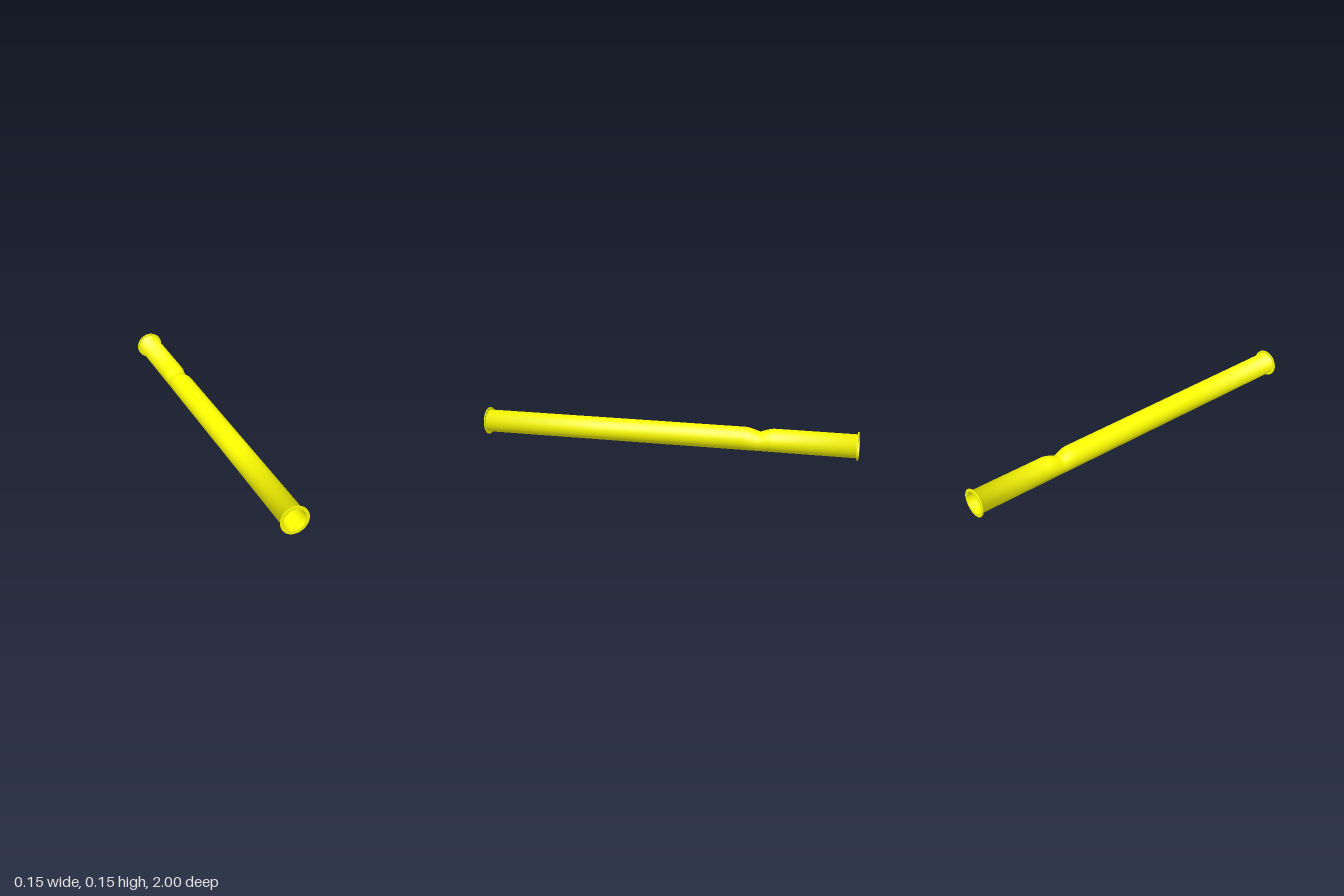
import * as THREE from 'three';

const SEG = 36;
const CENTER_Y = 0.073;
const PIPE_R = 0.06, BORE_R = 0.057, FLANGE_R = 0.073, FLANGE_T = 0.005;
const DENT_Z = -0.5, DENT_W = 0.075;

// Skin made of rings along z; point(angle, z) returns [x, y]
function skin(zs, point, inward) {
  const pos = [], index = [];
  zs.forEach((z) => {
    for (let i = 0; i < SEG; i++) {
      const [x, y] = point((i / SEG) * Math.PI * 2, z);
      pos.push(x, y, z);
    }
  });
  for (let r = 0; r < zs.length - 1; r++) {
    for (let i = 0; i < SEG; i++) {
      const a = r * SEG + i, b = r * SEG + ((i + 1) % SEG), c = a + SEG, d = b + SEG;
      if (inward) index.push(a, c, b, b, c, d);
      else index.push(a, b, c, b, d, c);
    }
  }
  const geo = new THREE.BufferGeometry();
  geo.setAttribute('position', new THREE.Float32BufferAttribute(pos, 3));
  geo.setIndex(index);
  geo.computeVertexNormals();
  return geo;
}

// Outer pipe radius, pressed in on the upper side at the dent
function outerPoint(a, z) {
  const t = Math.min(1, Math.abs(z - DENT_Z) / DENT_W);
  const side = Math.pow((1 + Math.cos(a - 1.31)) / 2, 1.5);
  const r = PIPE_R - 0.023 * side * Math.pow(1 - t, 1.5);
  return [r * Math.cos(a), r * Math.sin(a)];
}

// Bore narrows from both mouths to a small throat under the dent
function borePoint(a, z) {
  const span = z > DENT_Z ? 1 - DENT_Z : 1 + DENT_Z;
  const k = Math.min(1, Math.abs(z - DENT_Z) / span);
  const r = THREE.MathUtils.lerp(0.01, BORE_R, k);
  return [r * Math.cos(a) - 0.003 * (1 - k), r * Math.sin(a)];
}

function flangeGeometry() {
  const shape = new THREE.Shape().absarc(0, 0, FLANGE_R, 0, Math.PI * 2);
  shape.holes.push(new THREE.Path().absarc(0, 0, BORE_R, 0, Math.PI * 2, true));
  // Ring of bolt holes
  for (let i = 0; i < 18; i++) {
    const a = (i / 18) * Math.PI * 2;
    shape.holes.push(new THREE.Path().absarc(
      0.0667 * Math.cos(a), 0.0667 * Math.sin(a), 0.0017, 0, Math.PI * 2, true));
  }
  return new THREE.ExtrudeGeometry(shape, { depth: FLANGE_T, bevelEnabled: false, curveSegments: 18 });
}

export function createModel() {
  const group = new THREE.Group();
  group.name = 'dentedPipe';
  const yellow = new THREE.MeshStandardMaterial({ color: 0xffff00 });

  const add = (name, geo, z = 0) => {
    const mesh = new THREE.Mesh(geo, yellow);
    mesh.name = name;
    mesh.position.set(0, CENTER_Y, z);
    group.add(mesh);
  };

  // Outer skin, with rings packed around the dent
  const zs = [-1];
  for (let i = -8; i <= 8; i++) zs.push(DENT_Z + (DENT_W * i) / 8);
  zs.push(0.4, 1);
  const outer = skin(zs, outerPoint, false);

  // End normals blend into the flange backs
  const n = outer.attributes.normal;
  for (let i = 0; i < SEG; i++) {
    const a = (i / SEG) * Math.PI * 2, s = Math.SQRT1_2;
    n.setXYZ(i, s * Math.cos(a), s * Math.sin(a), s);
    n.setXYZ((zs.length - 1) * SEG + i, s * Math.cos(a), s * Math.sin(a), -s);
  }
  add('pipeWall', outer);

  add('bore', skin([-1, DENT_Z, 1], borePoint, true));

  // Flanges at both mouths
  add('frontFlange', flangeGeometry(), 1 - FLANGE_T);
  add('backFlange', flangeGeometry(), -1);

  return group;
}
